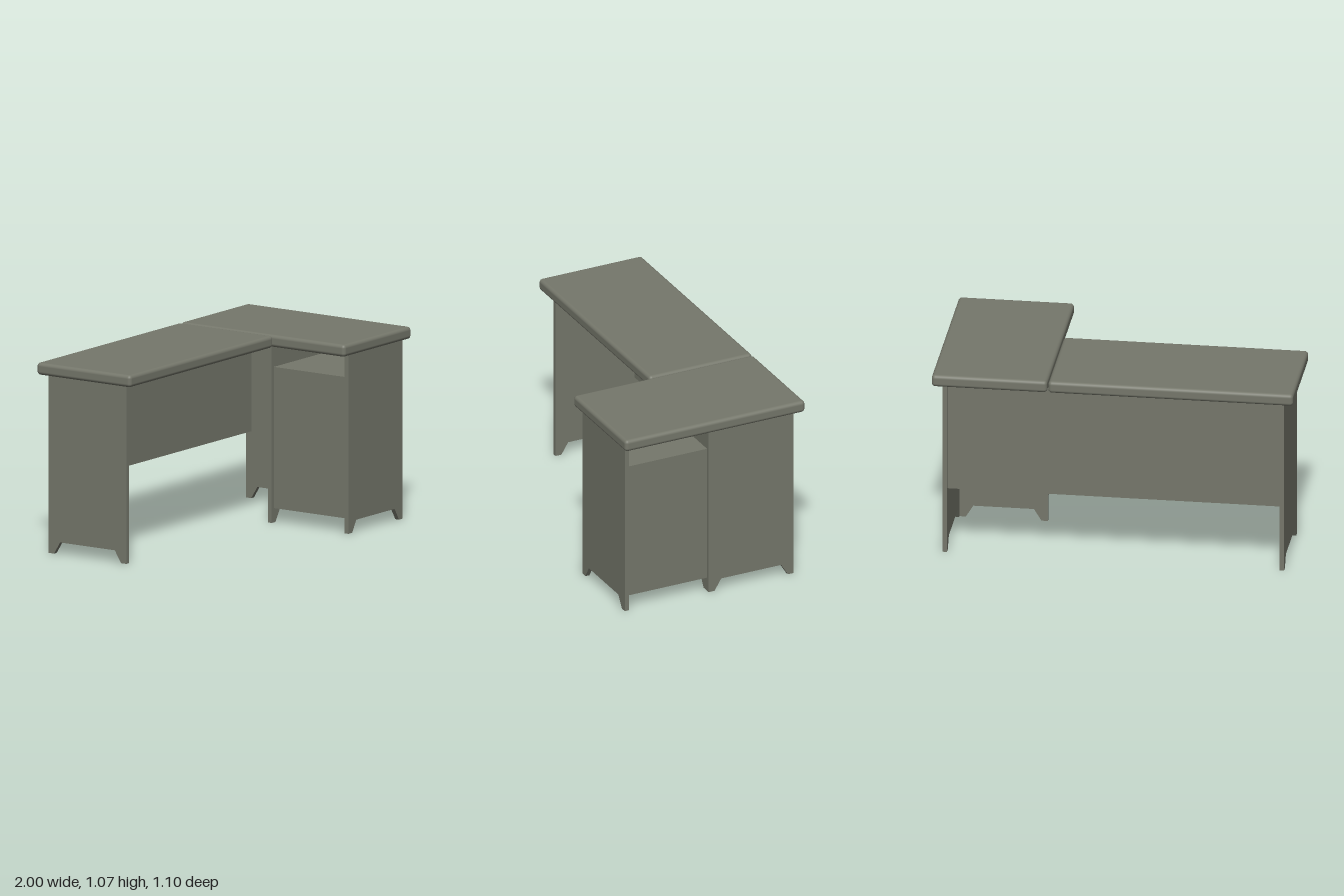
import * as THREE from 'three';
import { RoundedBoxGeometry } from 'three/addons/geometries/RoundedBoxGeometry.js';

const H = 1.0; // underside of the tops
const T = 0.025; // panel thickness

export function createModel() {
  const desk = new THREE.Group();
  desk.name = 'cornerDesk';
  const material = new THREE.MeshStandardMaterial({ color: 0x75776b });

  const add = (name, geometry) => {
    const mesh = new THREE.Mesh(geometry, material);
    mesh.name = name;
    desk.add(mesh);
    return mesh;
  };

  // Box given by its limits, with optional rounded edges
  const block = (name, x0, x1, y0, y1, z0, z1, r = 0) => {
    const size = [x1 - x0, y1 - y0, z1 - z0];
    const geometry = r ? new RoundedBoxGeometry(...size, 4, r) : new THREE.BoxGeometry(...size);
    add(name, geometry).position.set((x0 + x1) / 2, (y0 + y1) / 2, (z0 + z1) / 2);
  };

  // Upright panel with two tapered feet, drawn in XY and extruded along +z
  const footedPanel = (a, b) => {
    const shape = new THREE.Shape([
      [a, 0], [a + 0.036, 0], [a + 0.077, 0.067], [b - 0.077, 0.067],
      [b - 0.036, 0], [b, 0], [b, H], [a, H],
    ].map(([x, y]) => new THREE.Vector2(x, y)));
    return new THREE.ExtrudeGeometry(shape, { depth: T, bevelEnabled: false });
  };

  // Desk tops
  block('mainTop', -1, 0.355, H, 1.068, -0.552, 0.08, 0.02);
  block('returnTop', 0.361, 1, H, 1.068, -0.552, 0.552, 0.02);

  // End panels: turned so the drawn x runs along -z
  for (const [name, x] of [['rightEndPanel', -0.945], ['leftEndPanel', 0.92]]) {
    const geometry = footedPanel(-0.015, 0.507).rotateY(Math.PI / 2);
    add(name, geometry).position.x = x;
  }

  // Panels in front of and behind the cabinet
  add('returnFrontPanel', footedPanel(0.43, 0.945)).position.z = 0.505;
  add('returnInnerPanel', footedPanel(0.43, 0.92)).position.z = -0.01;

  // Back panel between the end panels
  block('modestyPanel', -0.92, 0.92, 0.375, H, -0.493, -0.468);

  // Cabinet hung between the return's panels
  block('cabinet', 0.45, 0.925, 0.08, 0.87, 0.015, 0.505);

  return desk;
}
